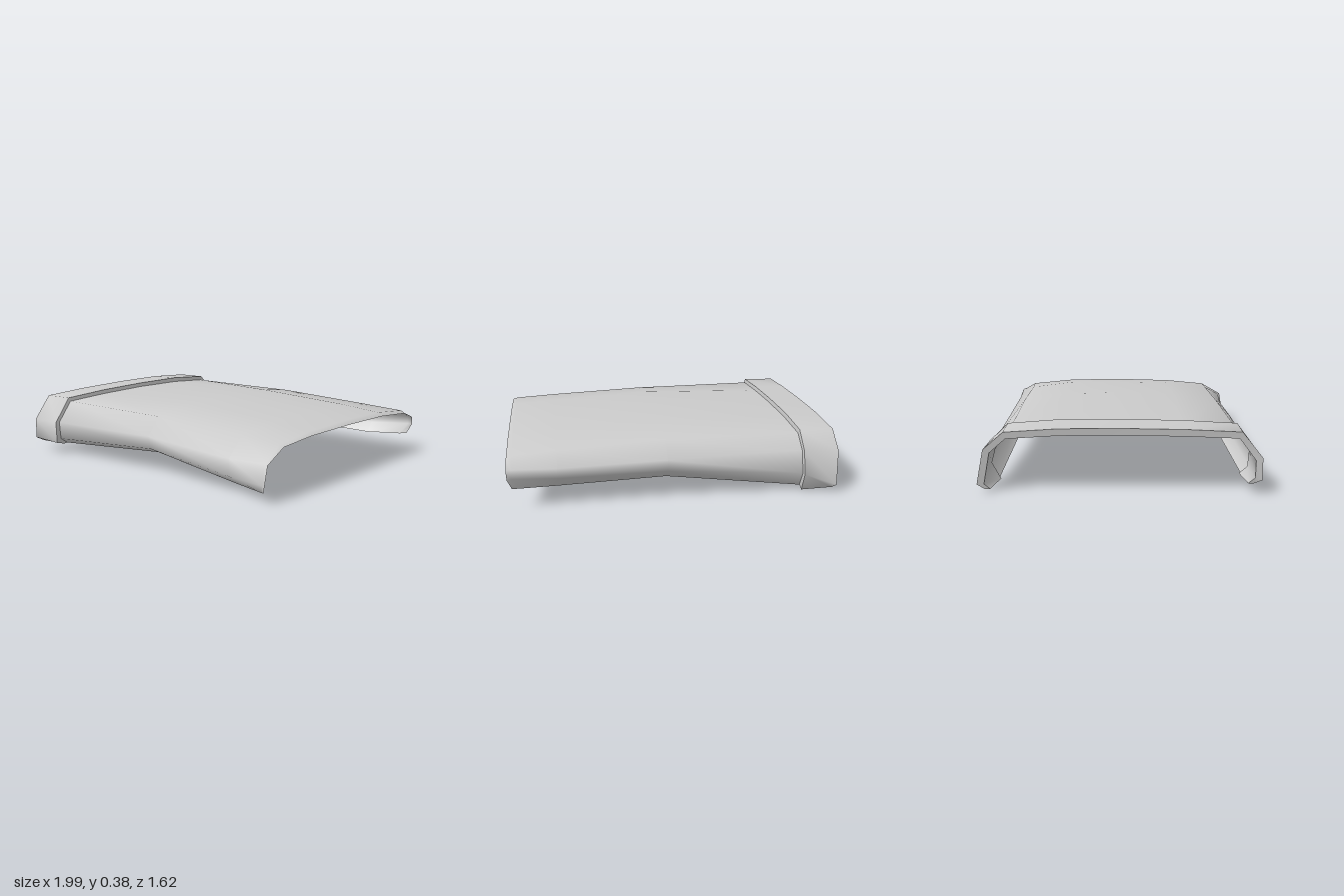
import * as THREE from 'three';

// Loft open cross-sections { x, skew, pts: [[z, y, dx], ...] }.
// skew slants a section in plan, dx rounds off its corners.
function loft(name, sections, material) {
  const n = sections[0].pts.length, pos = [], idx = [];
  for (const { x, skew, pts } of sections)
    for (const [z, y, dx = 0] of pts) pos.push(x + dx - skew * z, y, z);
  for (let i = 0; i < sections.length - 1; i++)
    for (let j = 0; j < n - 1; j++) {
      const a = i * n + j, b = a + n;
      idx.push(a, b, a + 1, b, b + 1, a + 1);
    }
  const g = new THREE.BufferGeometry();
  g.setAttribute('position', new THREE.Float32BufferAttribute(pos, 3));
  g.setIndex(idx);
  g.computeVertexNormals();
  const mesh = new THREE.Mesh(g, material);
  mesh.name = name;
  return mesh;
}

// Move a section inward by d; the free lower edges stay at their height
const inset = (pts, d) => pts.map(([z, y, dx], i) => {
  const a = pts[Math.max(i - 1, 0)], b = pts[Math.min(i + 1, pts.length - 1)];
  const tz = b[0] - a[0], ty = b[1] - a[1], l = Math.hypot(tz, ty);
  const edge = i === 0 || i === pts.length - 1;
  return [z - (edge ? Math.sign(z) * 0.7 : ty / l) * d, y + (edge ? 0 : tz / l * d), dx];
});

export function createModel() {
  const group = new THREE.Group();
  const mat = new THREE.MeshStandardMaterial({ color: 0xcccccc, side: THREE.DoubleSide });

  // Each section runs from the front lower edge, over the top, to the back lower edge
  const seam = [[0.68, 0.065], [0.73, 0.1], [0.738, 0.21], [0.64, 0.337], [0.35, 0.35], [0, 0.356],
    [-0.35, 0.35], [-0.63, 0.33], [-0.725, 0.25], [-0.76, 0.12], [-0.705, 0.027]];
  const waist = [[0.655, 0.12], [0.715, 0.15], [0.735, 0.23], [0.64, 0.335], [0.35, 0.375], [0, 0.385],
    [-0.35, 0.375], [-0.63, 0.335], [-0.725, 0.24], [-0.715, 0.17], [-0.66, 0.12]];
  const flare = [[0.7, 0.05], [0.755, 0.1], [0.755, 0.2], [0.645, 0.312], [0.35, 0.345], [0, 0.35],
    [-0.35, 0.345], [-0.63, 0.308], [-0.728, 0.23], [-0.72, 0.17], [-0.675, 0.11]];
  const shoulder = [[0.765, 0.052, -0.03], [0.795, 0.1], [0.775, 0.215], [0.65, 0.298], [0.38, 0.322], [0, 0.33],
    [-0.35, 0.323], [-0.64, 0.293], [-0.732, 0.24], [-0.742, 0.19], [-0.715, 0.122, -0.04]];
  const rim = [[0.79, 0.06, -0.025], [0.81, 0.1, -0.005], [0.79, 0.215], [0.655, 0.288], [0.4, 0.306], [0, 0.308],
    [-0.35, 0.302], [-0.64, 0.278], [-0.735, 0.24], [-0.755, 0.19, -0.005], [-0.73, 0.128, -0.03]];
  group.add(loft('panel', [
    { x: -0.757, skew: 0.034, pts: seam }, { x: 0.05, skew: 0.04, pts: waist },
    { x: 0.68, skew: 0.046, pts: flare }, { x: 0.935, skew: 0.046, pts: shoulder },
    { x: 0.965, skew: 0.046, pts: rim },
  ], mat));

  // Raised band around the end of the panel: outer face, end wall, inner face and steps to the panel
  const bandSeam = [[0.7, 0.06], [0.758, 0.075], [0.762, 0.21], [0.65, 0.36], [0.35, 0.375], [0, 0.381],
    [-0.35, 0.378], [-0.645, 0.355], [-0.75, 0.255], [-0.785, 0.12], [-0.73, 0.005]];
  const bandEnd = [[0.72, 0.06, 0.02], [0.765, 0.085], [0.765, 0.21], [0.65, 0.355], [0.35, 0.368], [0, 0.373],
    [-0.35, 0.37], [-0.65, 0.35], [-0.765, 0.25], [-0.805, 0.05, 0.015], [-0.76, 0.02, 0.025]];
  const outerEnd = { x: -0.967, skew: 0.03, pts: bandEnd };
  const innerEnd = { x: -0.962, skew: 0.03, pts: inset(bandEnd, 0.04) };
  const outerSeam = { x: -0.762, skew: 0.034, pts: bandSeam };
  const innerSeam = { x: -0.757, skew: 0.034, pts: inset(seam, 0.015) };
  const panelEdge = { x: -0.757, skew: 0.034, pts: seam };
  group.add(loft('bandOuterFace', [outerEnd, outerSeam], mat));
  group.add(loft('bandEndWall', [innerEnd, outerEnd], mat));
  group.add(loft('bandInnerFace', [innerSeam, innerEnd], mat));
  group.add(loft('bandStep', [outerSeam, panelEdge], mat));
  group.add(loft('bandInnerStep', [panelEdge, innerSeam], mat));
  return group;
}
